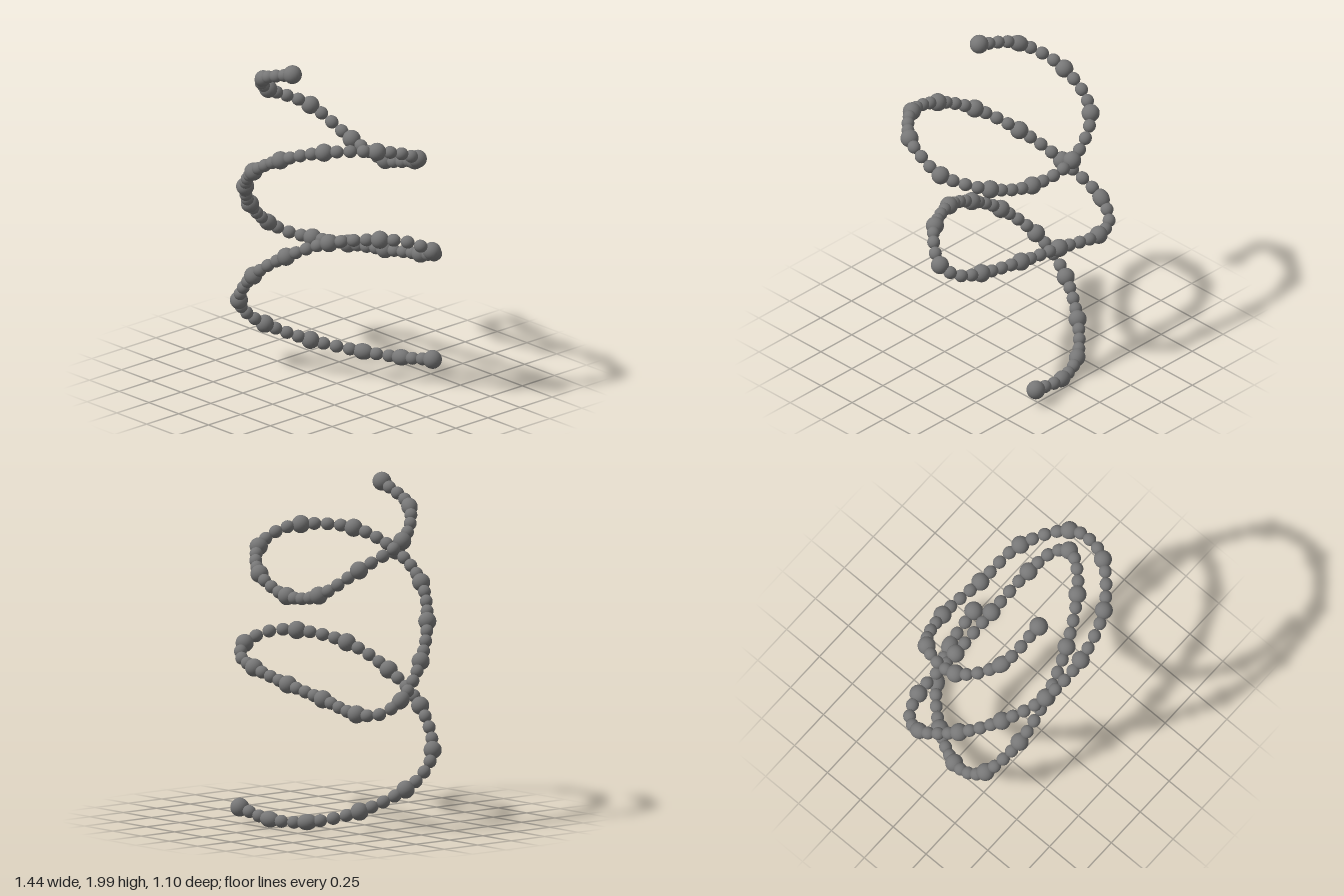
import * as THREE from 'three';

// Strand from bottom to top: large bead centres; a fourth value marks a bend without a large bead
const knots = [
  [0.265, 0.10, -0.50], [0.03, 0.055, -0.475], [-0.19, 0.055, -0.38], [-0.405, 0.12, -0.17],
  [-0.54, 0.24, 0.06], [-0.56, 0.33, 0.18, 'bend'], [-0.52, 0.445, 0.28], [-0.315, 0.67, 0.36],
  [-0.06, 0.85, 0.34], [0.21, 0.985, 0.255], [0.475, 1.04, 0.105], [0.595, 1.03, -0.005, 'bend'],
  [0.665, 0.965, -0.125], [0.605, 0.905, -0.205, 'bend'], [0.445, 0.86, -0.24], [0.135, 0.80, -0.25],
  [-0.175, 0.75, -0.25], [-0.485, 0.70, -0.26], [-0.625, 0.71, -0.205, 'bend'], [-0.675, 0.785, -0.09],
  [-0.585, 0.98, 0.135], [-0.425, 1.175, 0.32], [-0.205, 1.36, 0.46], [0.06, 1.51, 0.495],
  [0.345, 1.615, 0.42], [0.57, 1.63, 0.215], [0.62, 1.595, 0.07, 'bend'], [0.605, 1.525, -0.07],
  [0.385, 1.41, -0.25], [0.09, 1.32, -0.295], [-0.215, 1.36, -0.315], [-0.46, 1.525, -0.22],
  [-0.52, 1.675, 0.052], [-0.35, 1.835, 0.25], [-0.065, 1.945, 0.285],
];

const LARGE = 0.052, SMALL = 0.037, SPACING = 0.077, DIVISIONS = 20;
const ovals = new Set([1, 2, 19, 33]); // knots with an oval large bead

export function createModel() {
  const group = new THREE.Group();
  group.name = 'beadedSpiral';
  const material = new THREE.MeshStandardMaterial({ color: 0x777777 });
  const sphere = new THREE.SphereGeometry(1, 24, 16);
  const last = knots.length - 1;
  const curve = new THREE.CatmullRomCurve3(
    knots.map(([x, y, z]) => new THREE.Vector3(x, y, z)), false, 'centripetal');
  curve.arcLengthDivisions = last * DIVISIONS;
  const lengths = curve.getLengths();
  const total = curve.getLength();
  const forward = new THREE.Vector3(0, 0, 1);

  // One bead at a distance along the strand, with its z axis along the strand
  const addBead = (distance, radius, stretch, name) => {
    const u = Math.min(distance / total, 1);
    const bead = new THREE.Mesh(sphere, material);
    bead.position.copy(curve.getPointAt(u));
    bead.quaternion.setFromUnitVectors(forward, curve.getTangentAt(u));
    bead.scale.set(radius, radius, radius * stretch);
    bead.name = name;
    group.add(bead);
  };

  let previous = 0;
  knots.forEach((knot, i) => {
    if (knot[3]) return;
    const here = lengths[i * DIVISIONS];

    // Small beads, evenly strung since the previous large one
    const steps = Math.round((here - previous) / SPACING);
    for (let k = 1; k < steps; k++) {
      addBead(THREE.MathUtils.lerp(previous, here, k / steps), SMALL, 1.08, 'smallBead');
    }
    previous = here;

    if (i === 0 || i === last) addBead(here, 0.054, 1, 'endBead');
    else if (ovals.has(i)) addBead(here, 0.047, 1.25, 'ovalBead');
    else addBead(here, LARGE, 1, 'largeBead');
  });
  return group;
}
